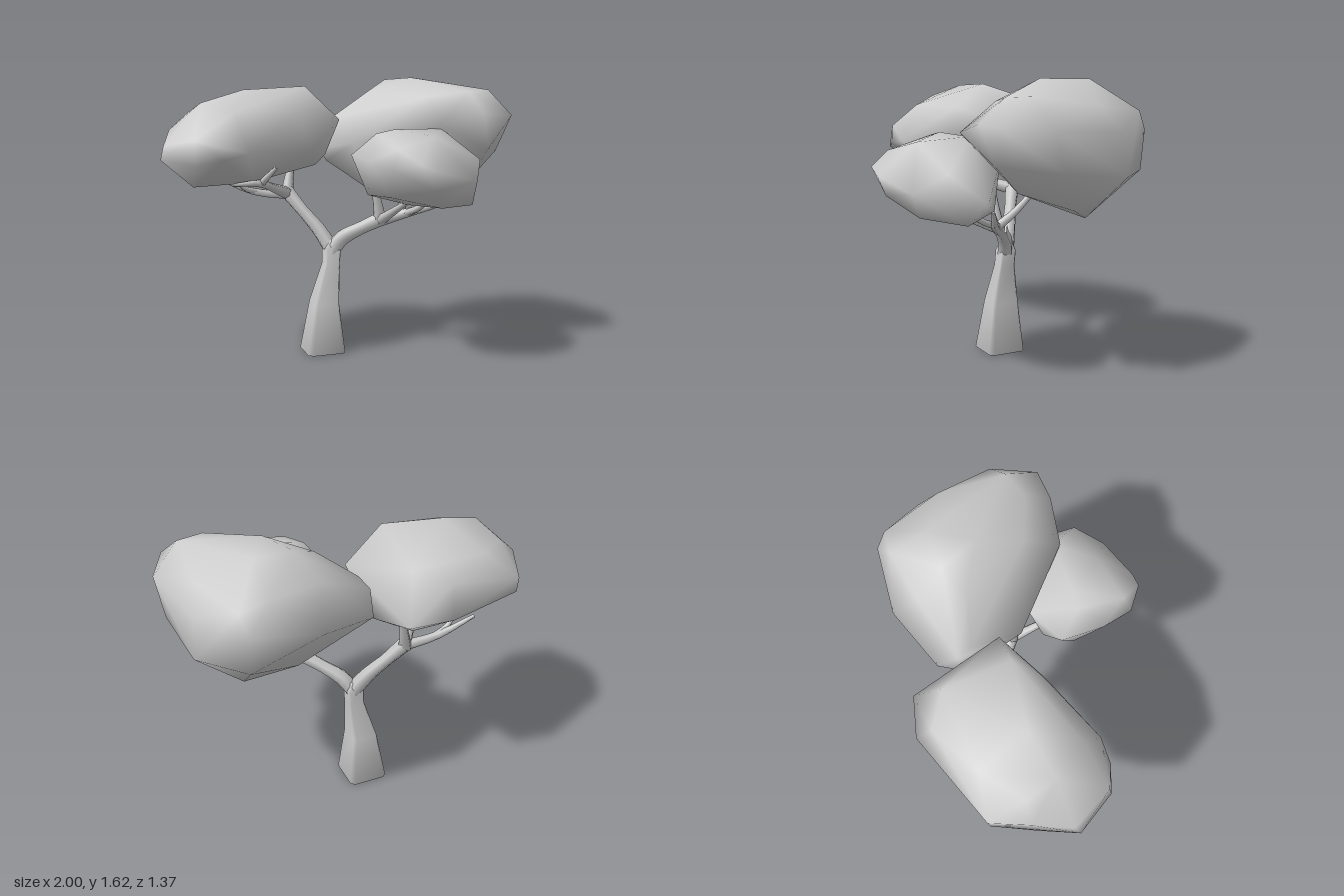
import * as THREE from 'three';
import { mergeVertices } from 'three/addons/utils/BufferGeometryUtils.js';
import { ConvexGeometry } from 'three/addons/geometries/ConvexGeometry.js';

const clay = new THREE.MeshStandardMaterial({ color: 0xcccccc });
clay.name = 'plain grey';

function addMesh(group, name, geometry) {
  const mesh = new THREE.Mesh(geometry, clay);
  mesh.name = name;
  group.add(mesh);
}

// Weld the corners and round the shading over them
function smooth(geometry) {
  geometry.deleteAttribute('normal');
  geometry.deleteAttribute('uv');
  const welded = mergeVertices(geometry, 1e-4);
  welded.computeVertexNormals();
  return welded;
}

// Column with chamfered square sections [y, centreX, centreZ, halfX, halfZ], bottom to top
function column(sections) {
  const n = sections.length - 1;
  const geometry = new THREE.CylinderGeometry(1, 1, 1, 8, n, false, Math.PI / 8);
  const pos = geometry.attributes.position;
  const square = (c) => (Math.abs(c) < 1e-6 ? 0 : Math.sign(c) * Math.pow(Math.abs(c) / 0.924, 0.25));
  for (let i = 0; i < pos.count; i++) {
    const [y, cx, cz, hx, hz] = sections[Math.round((pos.getY(i) + 0.5) * n)];
    pos.setXYZ(i, cx + hx * square(pos.getX(i)), y, cz + hz * square(pos.getZ(i)));
  }
  return smooth(geometry);
}

// Tapered limb through points [x, y, z, radius]
function limb(points, sides = 6) {
  const curve = new THREE.CatmullRomCurve3(points.map(([x, y, z]) => new THREE.Vector3(x, y, z)));
  const rings = (points.length - 1) * 3;
  const geometry = new THREE.TubeGeometry(curve, rings, 1, sides);
  const pos = geometry.attributes.position;
  const v = new THREE.Vector3();
  for (let i = 0; i <= rings; i++) {
    const centre = curve.getPointAt(i / rings);
    const t = curve.getUtoTmapping(i / rings) * (points.length - 1);
    const k = Math.min(Math.floor(t), points.length - 2);
    const radius = THREE.MathUtils.lerp(points[k][3], points[k + 1][3], t - k);
    for (let j = 0; j <= sides; j++) {
      const n = i * (sides + 1) + j;
      v.fromBufferAttribute(pos, n).sub(centre).multiplyScalar(radius).add(centre);
      pos.setXYZ(n, v.x, v.y, v.z);
    }
  }
  return geometry;
}

// Faceted foliage mass with smooth shading
const foliage = (points) => smooth(new ConvexGeometry(points.map((p) => new THREE.Vector3(...p))));

export function createModel() {
  const tree = new THREE.Group();
  tree.name = 'tree';

  // Trunk
  addMesh(tree, 'trunk', column([
    [0.004, -0.052, -0.195, 0.113, 0.114], [0.3, -0.04, -0.198, 0.072, 0.081],
    [0.53, 0.002, -0.197, 0.044, 0.047], [0.62, 0.008, -0.202, 0.046, 0.046],
    [0.67, 0.012, -0.205, 0.025, 0.025],
  ]));

  // Two main branches, each splitting into smaller ones
  const branches = {
    rightMainBranch: [[0.015, 0.6, -0.2, 0.048], [-0.05, 0.72, -0.25, 0.043], [-0.14, 0.84, -0.31, 0.036], [-0.22, 0.95, -0.365, 0.044]],
    rightUpperBranch: [[-0.22, 0.93, -0.36, 0.04], [-0.2, 1.02, -0.39, 0.028], [-0.17, 1.14, -0.42, 0.02]],
    rightBackBranch: [[-0.2, 0.93, -0.35, 0.03], [-0.42, 0.955, -0.36, 0.022], [-0.63, 1.04, -0.38, 0.01]],
    rightBackTwig: [[-0.4, 0.955, -0.36, 0.02], [-0.48, 0.98, -0.34, 0.017], [-0.55, 1.06, -0.33, 0.009]],
    rightFrontBranch: [[-0.22, 0.94, -0.36, 0.038], [-0.34, 0.99, -0.2, 0.027], [-0.46, 1.035, -0.06, 0.02], [-0.62, 1.035, -0.01, 0.008]],
    rightFrontTwig: [[-0.44, 1.03, -0.08, 0.022], [-0.42, 1.07, -0.03, 0.018], [-0.38, 1.13, 0.03, 0.01]],
    leftMainBranch: [[0, 0.59, -0.2, 0.046], [0.06, 0.68, -0.17, 0.045], [0.16, 0.75, -0.1, 0.037], [0.26, 0.81, -0.03, 0.042]],
    leftUpperBranch: [[0.25, 0.8, -0.03, 0.038], [0.23, 0.9, -0.02, 0.026], [0.19, 1.06, -0.01, 0.017]],
    leftOuterBranch: [[0.25, 0.8, -0.03, 0.036], [0.38, 0.85, 0.06, 0.026], [0.56, 0.92, 0.16, 0.016], [0.6, 0.97, 0.19, 0.01]],
    leftTwig: [[0.36, 0.84, 0.04, 0.025], [0.39, 0.91, -0.04, 0.02], [0.42, 1.03, -0.15, 0.014]],
    leftFrontBranch: [[0.25, 0.8, -0.03, 0.032], [0.26, 0.87, 0.14, 0.022], [0.28, 0.96, 0.34, 0.012]],
    leftFrontTwig: [[0.37, 0.845, 0.05, 0.022], [0.41, 0.89, 0.16, 0.018], [0.44, 0.97, 0.28, 0.012]],
  };
  for (const [name, points] of Object.entries(branches)) addMesh(tree, name, limb(points));

  // Foliage masses
  addMesh(tree, 'rightFoliage', foliage([
    [-1, 1.18, -0.03], [-0.98, 1.25, -0.06], [-0.92, 1.33, -0.26], [-0.84, 1.27, -0.46],
    [-0.77, 1.48, -0.09], [-0.82, 1.42, -0.26], [-0.92, 1.12, -0.22], [-0.84, 1.18, -0.45],
    [-0.52, 1.55, -0.16], [-0.17, 1.57, -0.14], [-0.32, 1.25, -0.69], [-0.09, 1.23, -0.65],
    [0.04, 1.38, -0.15], [-0.03, 1.18, -0.2], [-0.06, 1.11, -0.3], [-0.18, 1.22, 0.03],
    [-0.57, 1.22, 0.21], [-0.71, 1.19, 0.22], [-0.85, 1.16, 0.18], [-0.85, 1.29, 0.16],
    [-0.83, 1.03, -0.02], [-0.5, 1.04, -0.07], [-0.65, 1.03, -0.25], [-0.2, 1.1, -0.48],
    [-0.18, 1.46, -0.5], [-0.62, 1.45, -0.44], [-0.35, 1.4, -0.6], [-0.62, 1.43, 0.09], [-0.25, 1.43, 0],
  ]));
  addMesh(tree, 'leftFoliage', foliage([
    [0.39, 1.61, -0.34], [0.48, 1.62, -0.14], [0.6, 1.62, -0.36], [0.85, 1.55, 0.12],
    [0.87, 1.5, -0.25], [0.25, 1.54, -0.25], [0.03, 1.38, -0.3], [0, 1.34, -0.38],
    [-0.02, 1.2, -0.36], [0.02, 1.13, -0.34], [1, 1.4, 0.07], [0.9, 1.41, 0.31],
    [0.72, 1.42, 0.33], [0.47, 1.36, 0.31], [0.7, 1.54, 0.18], [0.47, 1.51, 0.11],
    [0.08, 1.25, -0.02], [0.03, 1.24, -0.49], [0.36, 1.3, -0.64], [0.72, 1.36, -0.63],
    [0.72, 1.15, -0.61], [0.91, 1.37, -0.36], [0.93, 1.15, -0.38], [0.75, 1.46, -0.57],
    [0.6, 1.5, -0.57], [0.3, 1.5, -0.5], [0.97, 1.19, 0], [0.85, 0.99, -0.13],
    [0.67, 0.91, -0.31], [0.38, 0.945, -0.33], [0.24, 0.97, -0.25], [0.78, 1.22, 0.27],
    [0.7, 1.07, 0.1], [0.38, 1.02, -0.1],
  ]));
  addMesh(tree, 'frontFoliage', foliage([
    [0, 1.2, 0.18], [0.02, 1.18, 0.42], [0.08, 1.15, 0.6], [0.2, 1.18, 0.68],
    [0.29, 1.14, 0.68], [0.55, 1.08, 0.6], [0.64, 1.18, 0.45], [0.71, 1.03, 0.27],
    [0.65, 0.92, 0.35], [0.4, 0.93, 0.5], [0.28, 0.93, 0.3], [0.06, 0.99, 0.28],
    [0.1, 1.32, 0.3], [0.2, 1.34, 0.3], [0.49, 1.34, 0.27], [0.35, 1.31, 0.49],
    [0.08, 1.15, 0.1], [0.2, 1.2, 0.06], [0.5, 1.2, 0.1], [0.3, 1.03, 0.1],
    [0.1, 1.0, 0.5], [0.3, 1.04, 0.64], [0.58, 0.97, 0.17], [0.12, 1.25, 0.56],
  ]));

  return tree;
}
